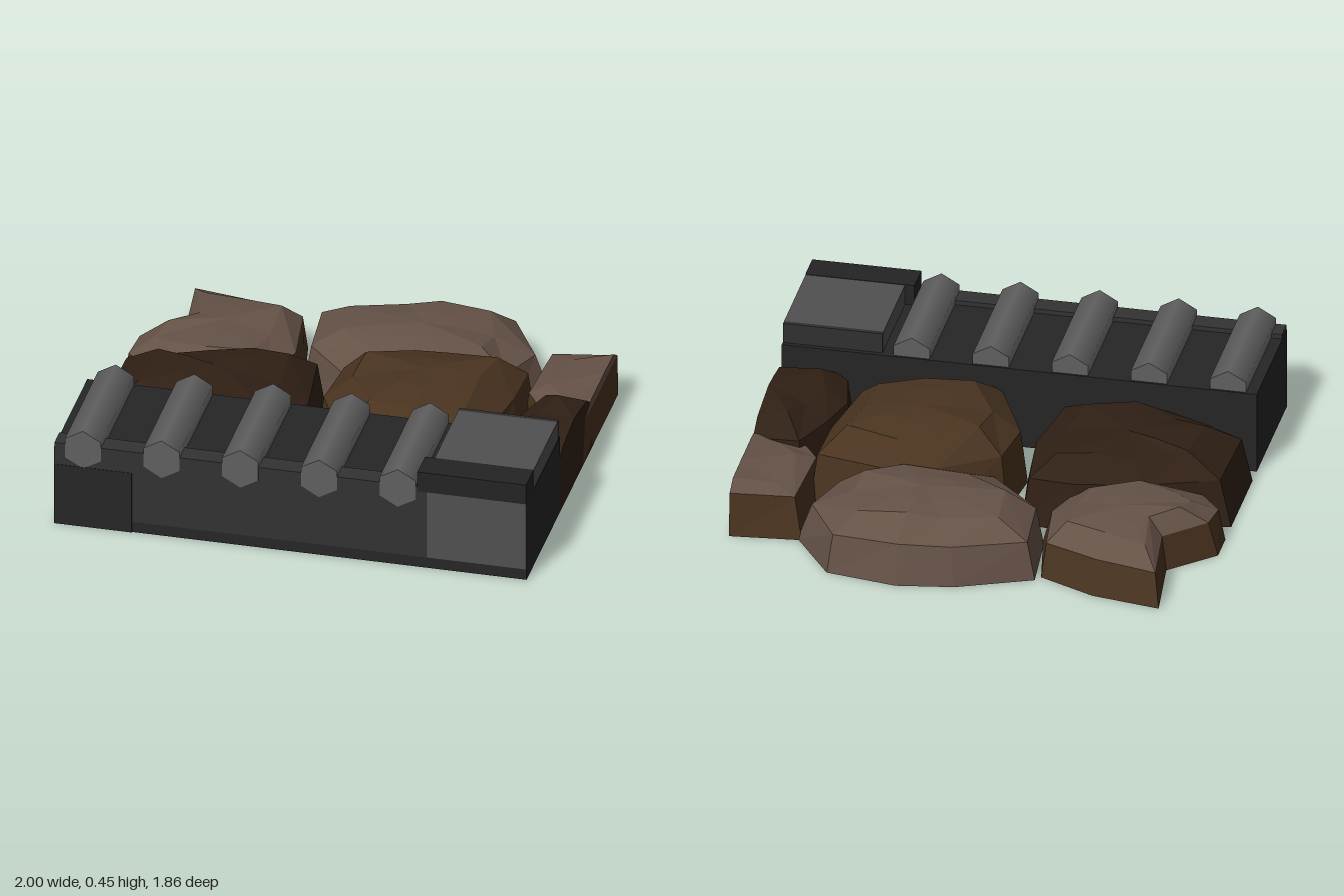
import * as THREE from 'three';

const mat = (color, flatShading = true) => new THREE.MeshStandardMaterial({ color, flatShading });

// Box given by its min and max on each axis
function slab(name, color, [x0, x1], [y0, y1], [z0, z1]) {
  const mesh = new THREE.Mesh(new THREE.BoxGeometry(x1 - x0, y1 - y0, z1 - z0), mat(color));
  mesh.position.set((x0 + x1) / 2, (y0 + y1) / 2, (z0 + z1) / 2);
  mesh.name = name;
  return mesh;
}

// Faceted shell through a list of equal-length rings, lowest first
function shell(rings, cap, base) {
  const v = [];
  const tri = (...p) => p.forEach((q) => v.push(...q));
  const n = rings[0].length;
  for (let i = 0; i < n; i++) {
    const j = (i + 1) % n;
    for (let r = 0; r + 1 < rings.length; r++) {
      const lo = rings[r], up = rings[r + 1];
      tri(lo[i], up[i], lo[j]);
      tri(up[i], up[j], lo[j]);
    }
    if (cap) tri(cap, rings.at(-1)[j], rings.at(-1)[i]);
    if (base) tri(base, rings[0][i], rings[0][j]);
  }
  const g = new THREE.BufferGeometry();
  g.setAttribute('position', new THREE.Float32BufferAttribute(v, 3));
  g.computeVertexNormals();
  return g;
}

// Flat-bottomed boulder: steep skirt, then a low faceted crown
function boulder({ name, outline, centre, rim, height, color, skirt }) {
  const [cx, cz] = centre;
  const ring = (scale, y, wobble) => outline.map(([x, z], i) => [
    cx + (x - cx) * scale * (1 + wobble * Math.sin(i * 2.4 + cx * 5)),
    y + wobble * 0.16 * Math.cos(i * 1.9 + cz * 7),
    cz + (z - cz) * scale * (1 + wobble * Math.sin(i * 2.4 + cx * 5)),
  ]);
  const foot = ring(1, 0, 0);
  const edge = ring(0.91, rim, 0.03);
  const shoulder = ring(0.62, rim + (height - rim) * 0.75, 0.1);
  const inner = ring(0.3, height - 0.008, 0.05);
  const group = new THREE.Group();
  group.name = name;
  const sides = new THREE.Mesh(shell([foot, edge], null, [cx, 0, cz]), mat(skirt ?? color));
  sides.name = name + 'Sides';
  const crown = new THREE.Mesh(shell([edge, shoulder, inner], [cx, height, cz]), mat(color));
  crown.name = name + 'Crown';
  group.add(sides, crown);
  return group;
}

export function createModel() {
  const model = new THREE.Group();

  // Kerb wall
  const kerb = new THREE.Group();
  kerb.name = 'kerb';
  kerb.add(
    slab('kerbBody', 0x262626, [-1, 1], [0, 0.36], [0.35, 0.925]),
    slab('frontFacing', 0x333333, [-0.998, 0.58], [0.05, 0.38], [0.84, 0.928]),
    slab('leftEndFacing', 0x262626, [-1, -0.67], [0, 0.28], [0.86, 0.93]),
    slab('endBlock', 0x505050, [0.58, 0.999], [0.28, 0.449], [0.39, 0.927]),
    slab('endBlockFace', 0x505050, [0.58, 0.999], [0.05, 0.36], [0.88, 0.928]),
    slab('endBlockBack', 0x303030, [0.58, 0.999], [0.28, 0.449], [0.37, 0.39]),
    slab('endCap', 0x242424, [0.54, 1], [0.36, 0.451], [0.8, 0.931]),
  );
  model.add(kerb);

  // Six-sided rods laid across the kerb, smooth along their length
  const rodGeo = new THREE.CylinderGeometry(0.088, 0.088, 0.57, 6).rotateX(Math.PI / 2);
  for (let i = 0; i < 5; i++) {
    const rod = new THREE.Mesh(rodGeo, mat(0x606060, false));
    rod.name = 'rod' + (i + 1);
    rod.position.set(-0.877 + i * 0.333, 0.362, 0.644);
    model.add(rod);
  }

  // Boulders behind the kerb
  const pale = 0x655247, brown = 0x4a3420, dark = 0x302015;
  const boulders = [
    { name: 'backLeftBoulder', centre: [-0.62, -0.48], rim: 0.15, height: 0.24, color: pale, skirt: brown,
      outline: [[-0.86, -0.89], [-0.57, -0.84], [-0.33, -0.73], [-0.27, -0.42], [-0.36, -0.2],
        [-0.65, -0.12], [-0.92, -0.12], [-1, -0.25], [-1, -0.39], [-0.82, -0.56]] },
    { name: 'backMiddleBoulder', centre: [0.2, -0.57], rim: 0.17, height: 0.28, color: pale,
      outline: [[-0.31, -0.76], [0, -0.89], [0.24, -0.93], [0.54, -0.88], [0.72, -0.62],
        [0.62, -0.4], [0.4, -0.25], [-0.05, -0.18], [-0.28, -0.45]] },
    { name: 'backRightBoulder', centre: [1, -0.42], rim: 0.19, height: 0.235, color: pale, skirt: brown,
      outline: [[0.7, -0.63], [1, -0.66], [1, -0.05], [0.82, -0.05], [0.7, -0.25]] },
    { name: 'frontLeftBoulder', centre: [-0.52, 0.03], rim: 0.2, height: 0.31, color: dark,
      outline: [[-1, -0.14], [-0.9, -0.16], [-0.65, -0.24], [-0.35, -0.33], [-0.15, -0.29], [-0.1, 0.05],
        [-0.15, 0.4], [-0.5, 0.44], [-0.8, 0.4], [-1, 0.27]] },
    { name: 'frontMiddleBoulder', centre: [0.33, -0.05], rim: 0.24, height: 0.372, color: brown,
      outline: [[-0.07, -0.2], [0.18, -0.38], [0.4, -0.41], [0.73, -0.35], [0.74, -0.1],
        [0.66, 0.28], [0.4, 0.42], [0.05, 0.42], [-0.1, 0.06]] },
    { name: 'frontRightBoulder', centre: [1, 0.1], rim: 0.22, height: 0.305, color: dark,
      outline: [[0.78, -0.24], [1, -0.22], [1, 0.44], [0.7, 0.42], [0.66, 0.18], [0.7, -0.02]] },
  ];
  boulders.forEach((b) => model.add(boulder(b)));

  return model;
}
